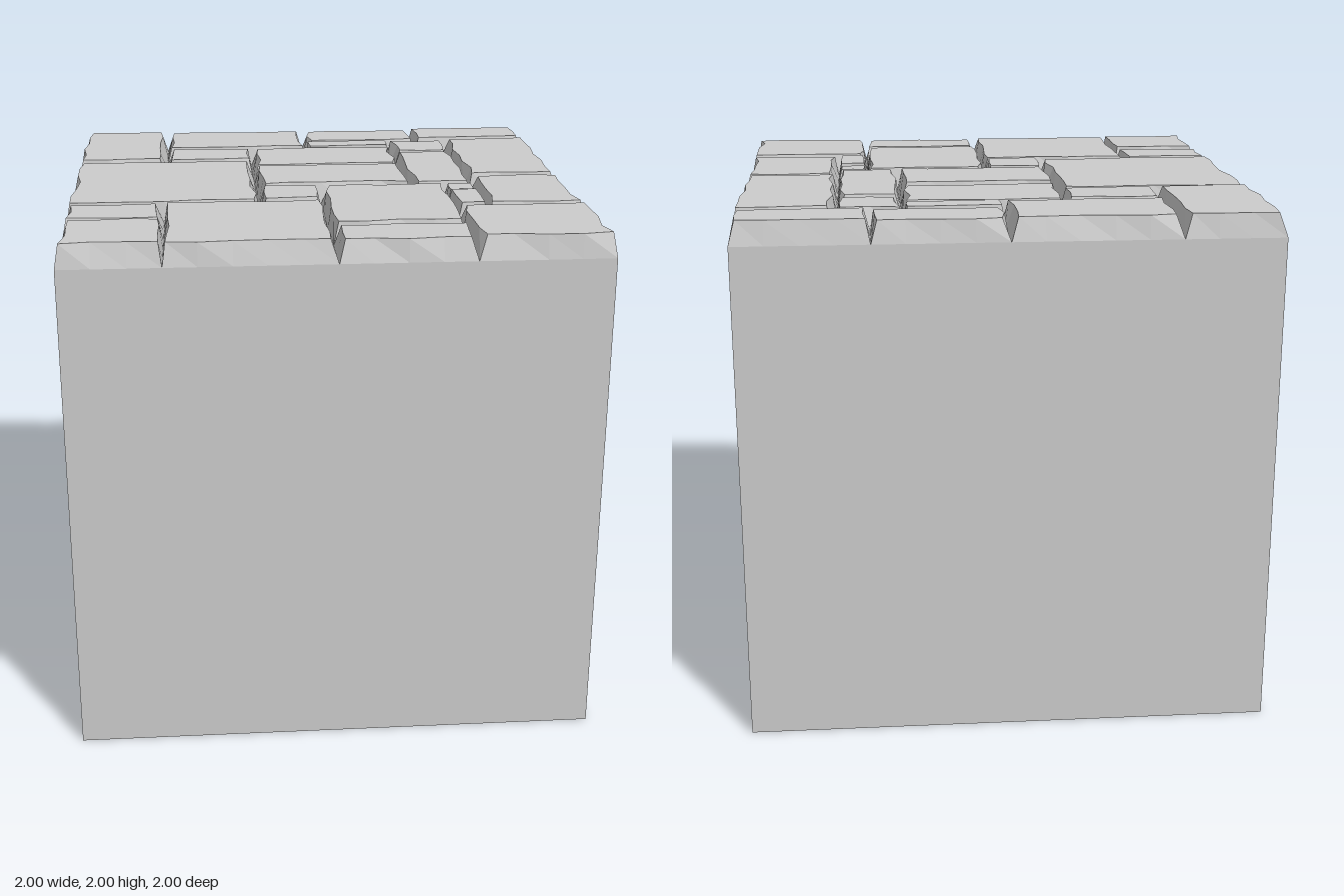
import * as THREE from 'three';

const CELL = 0.125;
const BODY_TOP = 1.91;

// Paving layout in grid cells: x0, z0, x1, z1
const STONES = [
  [-8, -8, -5, -3], [-5, -8, 0, -5], [0, -8, 4, -6], [4, -8, 8, -6],
  [0, -6, 3, -5], [3, -6, 5, -4], [5, -6, 8, 0], [-5, -5, -2, -3],
  [-2, -5, 3, -2], [-2, -2, 3, 1], [3, -4, 5, 1], [-8, -3, -2, 3],
  [-2, 1, 0, 3], [0, 1, 4, 6], [4, 1, 5, 2], [4, 2, 5, 4],
  [5, 0, 8, 4], [-8, 3, -5, 5], [-8, 5, -5, 8], [-5, 3, 0, 8],
  [0, 6, 4, 8], [4, 4, 8, 8],
];

let seed = 7;
function random() {
  seed = (seed * 16807) % 2147483647;
  return seed / 2147483647;
}

// Stone with an exact rectangular foot and a smaller, wavy top outline
function stoneGeometry([x0, z0, x1, z1], height) {
  const corners = [[x0, z0], [x1, z0], [x1, z1], [x0, z1]];
  const inward = [[0, 1], [-1, 0], [0, -1], [1, 0]];
  const bevel = Math.min(x1 - x0, z1 - z0) === 1 ? 0.013 : 0.023;
  const inset = () => bevel * (0.5 + random());
  const foot = [], rim = [];

  corners.forEach(([ax, az], side) => {
    const [bx, bz] = corners[(side + 1) % 4];
    const steps = Math.max(2, Math.abs(bx - ax) + Math.abs(bz - az));
    const before = inward[(side + 3) % 4];
    for (let s = 0; s < steps; s++) {
      const x = (ax + (bx - ax) * s / steps) * CELL;
      const z = (az + (bz - az) * s / steps) * CELL;
      const d = inset();
      const e = s === 0 ? inset() : 0; // corners move in along both sides
      foot.push([x, BODY_TOP, z]);
      rim.push([
        x + inward[side][0] * d + before[0] * e,
        height,
        z + inward[side][1] * d + before[1] * e,
      ]);
    }
  });

  const centre = [(x0 + x1) / 2 * CELL, height, (z0 + z1) / 2 * CELL];
  const positions = [];
  foot.forEach((f, i) => {
    const j = (i + 1) % foot.length;
    positions.push(...f, ...rim[i], ...rim[j]);
    positions.push(...f, ...rim[j], ...foot[j]);
    positions.push(...centre, ...rim[j], ...rim[i]);
  });
  const geometry = new THREE.BufferGeometry();
  geometry.setAttribute('position', new THREE.Float32BufferAttribute(positions, 3));
  geometry.computeVertexNormals();
  return geometry;
}

export function createModel() {
  const model = new THREE.Group();
  model.name = 'pavedBlock';
  const material = new THREE.MeshStandardMaterial({ color: 0xcccccc, flatShading: true });

  // Solid block below the paving
  const body = new THREE.Mesh(new THREE.BoxGeometry(2, BODY_TOP, 2), material);
  body.name = 'blockBody';
  body.position.y = BODY_TOP / 2;
  model.add(body);

  // Paving stones
  const paving = new THREE.Group();
  paving.name = 'paving';
  STONES.forEach((cells, i) => {
    const stone = new THREE.Mesh(stoneGeometry(cells, 2 - 0.003 * (i % 3)), material);
    stone.name = `pavingStone${i + 1}`;
    paving.add(stone);
  });
  model.add(paving);
  return model;
}
